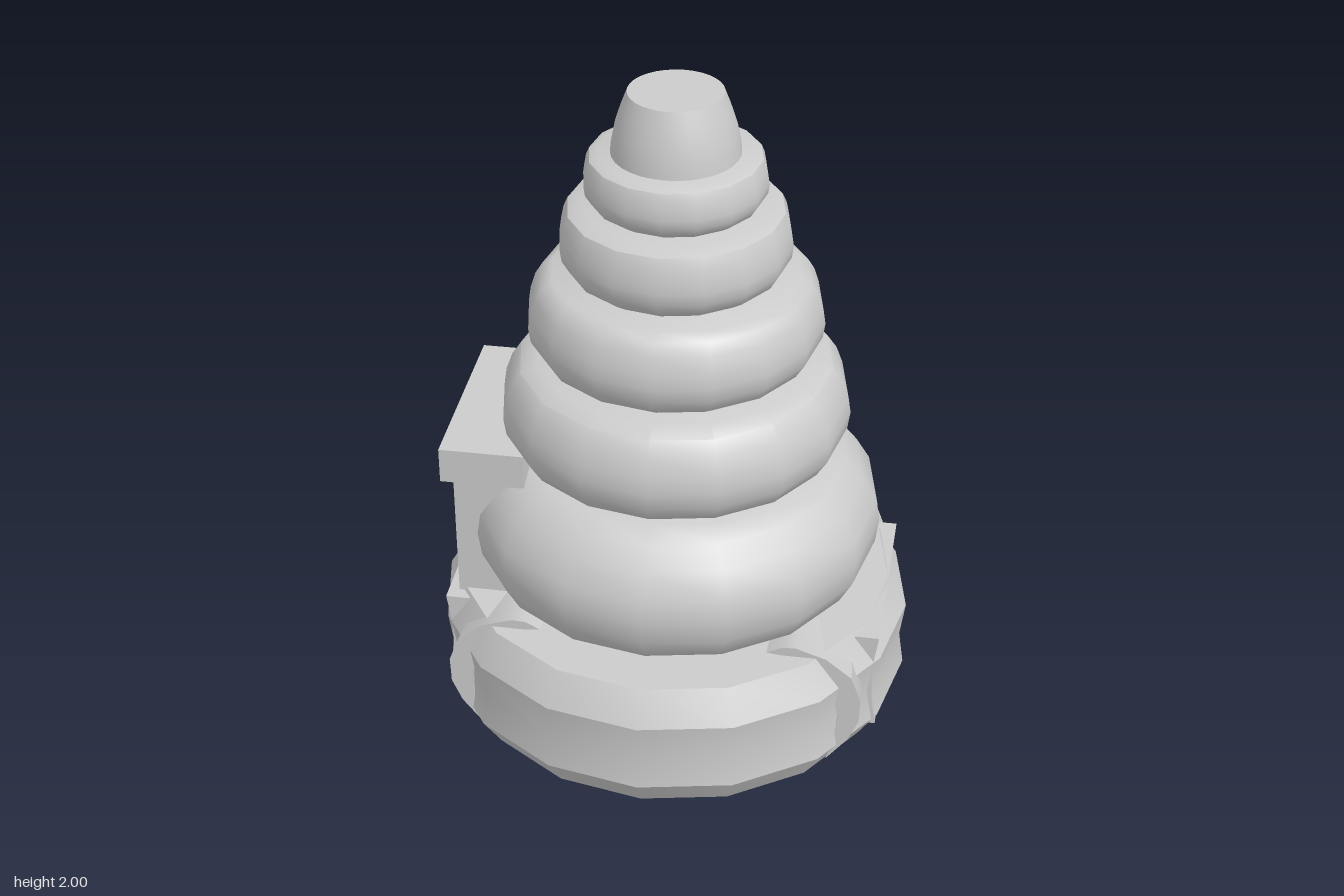
import * as THREE from 'three';
import { toCreasedNormals } from 'three/addons/utils/BufferGeometryUtils.js';

const material = new THREE.MeshStandardMaterial({ color: 0xcccccc });

function add(group, name, geometry, crease = 0.5) {
  const mesh = new THREE.Mesh(toCreasedNormals(geometry, crease), material);
  mesh.name = name;
  group.add(mesh);
  return mesh;
}

const points = (list) => list.map(([x, y]) => new THREE.Vector2(x, y));
const lathe = (profile, sides = 16) => new THREE.LatheGeometry(points(profile), sides);

// Outline in x/y pulled along z, centred on z = 0; flare shrinks the middle
function pulled(outline, width, centre = [0, 0], flare = 0) {
  const g = new THREE.ExtrudeGeometry(new THREE.Shape(points(outline)), {
    depth: width, bevelEnabled: false, steps: flare ? 6 : 1,
  });
  g.translate(0, 0, -width / 2);
  const p = g.attributes.position;
  for (let i = 0; i < p.count; i++) {
    const s = 1 - flare * (1 - Math.abs(p.getZ(i)) / (width / 2));
    p.setX(i, centre[0] + (p.getX(i) - centre[0]) * s);
    p.setY(i, centre[1] + (p.getY(i) - centre[1]) * s);
  }
  return g;
}

export function createModel() {
  const model = new THREE.Group();
  model.name = 'ringTower';

  // Base with a shallow waist, and a low button underneath
  add(model, 'base', lathe([
    [0, 0.02], [0.65, 0.02], [0.71, 0.115], [0.695, 0.22], [0.71, 0.33], [0.65, 0.43], [0, 0.43],
  ]));
  add(model, 'bottomButton', lathe([[0, 0.004], [0.08, 0], [0.16, 0.008], [0.2, 0.022]], 32), 1);

  // Stacked rings: bottom, height, widest radius, lip radius, rim radius
  const rings = [
    [0.43, 0.435, 0.615, 0.51, 0.45],
    [0.86, 0.318, 0.515, 0.46, 0.41],
    [1.175, 0.27, 0.432, 0.39, 0.36],
    [1.442, 0.22, 0.335, 0.31, 0.27],
    [1.658, 0.162, 0.263, 0.245, 0.22],
  ];
  rings.forEach(([y, h, r, lip, rim], i) => {
    add(model, `ring${i + 1}`, lathe([
      [0, y], [r * 0.8, y], [r * 0.92, y + h * 0.13], [r * 0.985, y + h * 0.3], [r, y + h * 0.47],
      [r * 0.985, y + h * 0.63], [(r + lip) / 2, y + h * 0.8], [lip, y + h * 0.93],
      [rim, y + h], [0, y + h - 0.01],
    ]), 0.6);
  });

  // Flat-topped tip
  add(model, 'tip', lathe([
    [0.185, 1.8], [0.18, 1.85], [0.17, 1.9], [0.154, 1.95], [0.135, 2], [0, 2],
  ], 32));

  // Curved straps and narrow side plates, one of each per side
  const crescent = [
    [0.52, 0.06], [0.582, 0.14], [0.612, 0.21], [0.615, 0.29], [0.585, 0.37], [0.51, 0.43],
    [0.42, 0.46], [0.38, 0.458], [0.335, 0.435], [0.42, 0.425], [0.49, 0.375], [0.535, 0.3],
    [0.55, 0.22], [0.54, 0.13],
  ];
  const plate = [
    [0.58, 0.1], [0.652, 0.1], [0.64, 0.18], [0.635, 0.26], [0.64, 0.34], [0.652, 0.42], [0.58, 0.42],
  ];
  for (const [side, turn] of [['left', 0], ['right', Math.PI]]) {
    add(model, `${side}Strap`, pulled(crescent, 0.86, [0.4, 0.25], 0.15)).rotation.y = turn;
    add(model, `${side}Plate`, pulled(plate, 0.59)).rotation.y = turn;
  }

  // Block with an overhanging cap on the right side
  const post = add(model, 'sidePost', new THREE.BoxGeometry(0.3, 0.46, 0.51));
  post.position.set(-0.47, 0.62, 0);
  const cap = add(model, 'sidePostCap', new THREE.BoxGeometry(0.25, 0.11, 0.59));
  cap.position.set(-0.525, 0.89, -0.005);

  return model;
}
